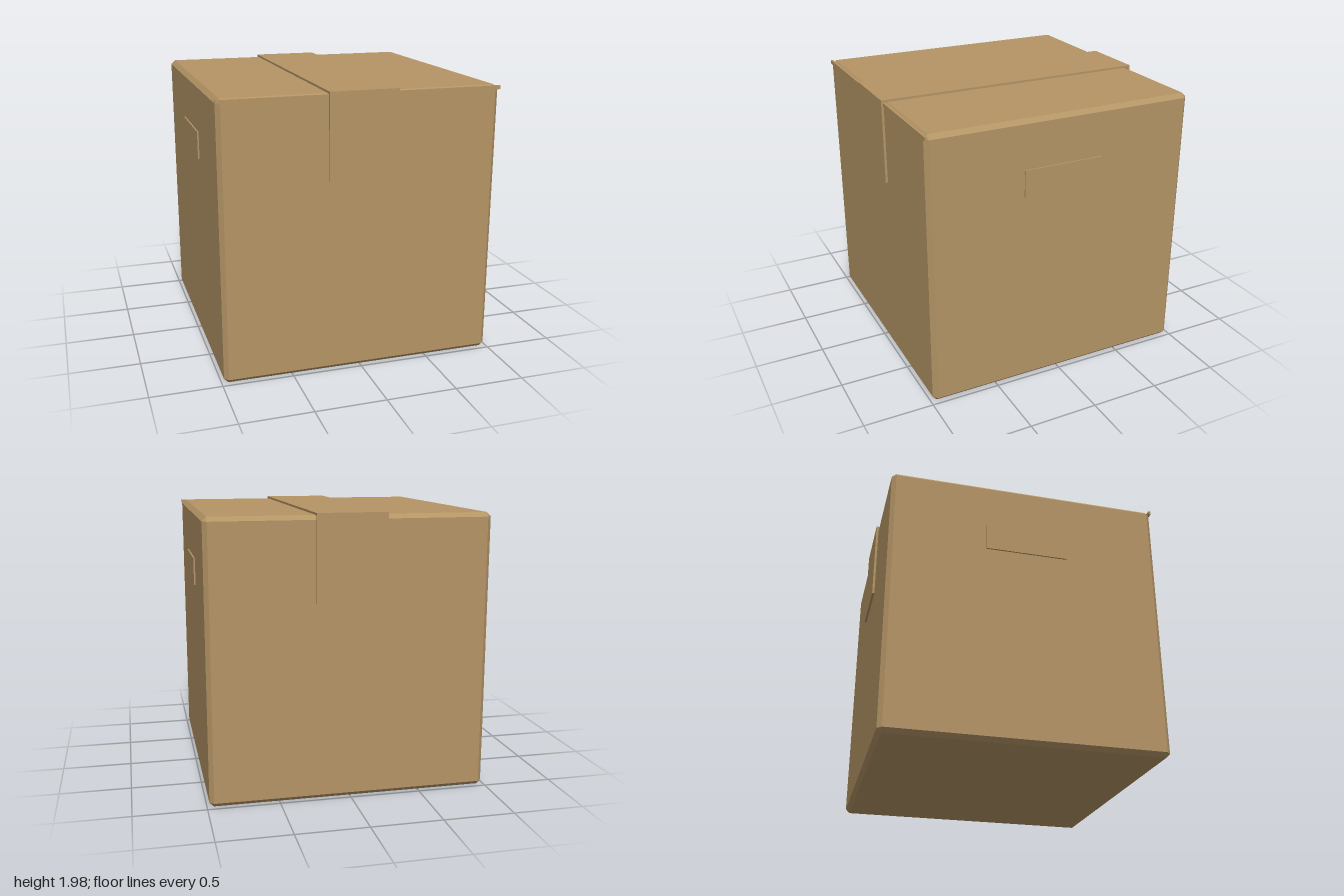
import * as THREE from 'three';
import { ConvexGeometry } from 'three/addons/geometries/ConvexGeometry.js';

const cardboard = new THREE.MeshStandardMaterial({ color: 0xb49465 });
cardboard.name = 'cardboard';

// Box with flat 45 degree chamfers on all edges and corners
function chamferedBox(w, h, d, c) {
  const points = [];
  for (const x of [-1, 1]) for (const y of [-1, 1]) for (const z of [-1, 1]) {
    for (const [a, b, e] of [[0, c, c], [c, 0, c], [c, c, 0]]) {
      points.push(new THREE.Vector3(x * (w / 2 - a), y * (h / 2 - b), z * (d / 2 - e)));
    }
  }
  return new ConvexGeometry(points);
}

export function createModel() {
  const model = new THREE.Group();
  model.name = 'cardboardBox';
  const add = (name, geometry, x, y, z) => {
    const mesh = new THREE.Mesh(geometry, cardboard);
    mesh.name = name;
    mesh.position.set(x, y, z);
    model.add(mesh);
    return mesh;
  };

  // Closed carton
  add('carton', chamferedBox(1.966, 1.965, 1.966, 0.03), 0, 0.9825, 0);

  // Lid flap edge along the top of the front
  add('frontLip', new THREE.BoxGeometry(1.976, 0.027, 0.016), 0, 1.9475, 0.979);

  // Tape folded over the top and down the front and back
  const band = new THREE.Shape([
    [-1, 1.38], [-1, 1.98], [1, 1.98], [1, 1.38],
    [0.98, 1.38], [0.98, 1.963], [-0.98, 1.963], [-0.98, 1.38],
  ].map(([u, v]) => new THREE.Vector2(u, v)));
  const tape = new THREE.ExtrudeGeometry(band, { depth: 0.486, bevelEnabled: false });
  tape.translate(0, 0, -0.243).rotateY(Math.PI / 2);
  add('tape', tape, 0, 0, 0);

  // Raised handle panels on both sides
  for (const side of [-1, 1]) {
    add(side > 0 ? 'leftHandle' : 'rightHandle',
      new THREE.BoxGeometry(0.014, 0.195, 0.59), side * 0.987, 1.5225, 0);
  }
  return model;
}
